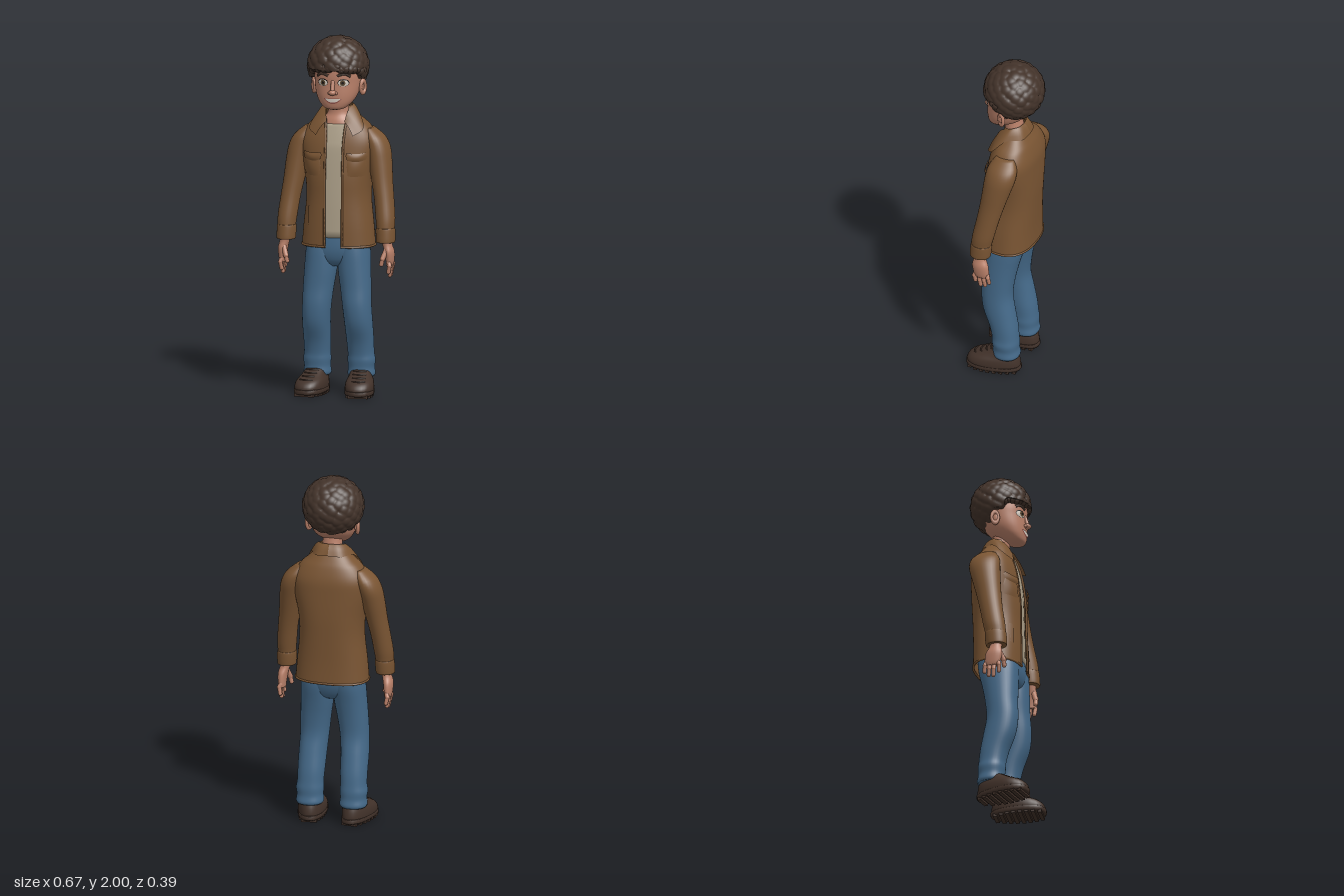
import * as THREE from 'three';
import { mergeVertices, mergeGeometries } from 'three/addons/utils/BufferGeometryUtils.js';

const mat = (name, color, double) => {
  const m = new THREE.MeshStandardMaterial({ color });
  m.name = name;
  if (double) m.side = THREE.DoubleSide;
  return m;
};
const V = (p) => new THREE.Vector3(...p);
const spow = (v, e) => Math.sign(v) * Math.pow(Math.abs(v), e);

// Fill in rows [y, cx, cz, rx, rz] between key sections with a smooth spline
function dense(rows, k = 4) {
  const out = [], last = rows.length - 1;
  for (let j = 0; j < last; j++) {
    const [a, b, c, d] = [Math.max(j - 1, 0), j, j + 1, Math.min(j + 2, last)].map((i) => rows[i]);
    for (let s = 0; s < k; s++) {
      const t = s / k;
      out.push(b.map((p, i) => 0.5 * (2 * p + (c[i] - a[i]) * t + (2 * a[i] - 5 * p + 4 * c[i] - d[i]) * t * t
        + (3 * p - a[i] - 3 * c[i] + d[i]) * t * t * t)));
    }
  }
  out.push(rows[last]);
  return out;
}

function build(pos, idx) {
  let g = new THREE.BufferGeometry();
  g.setAttribute('position', new THREE.Float32BufferAttribute(pos, 3));
  g.setIndex(idx);
  g = mergeVertices(g, 1e-5);
  g.computeVertexNormals();
  return g;
}

// Skin over stacked superellipse rings; gap(y) leaves an opening at the front
function loft(rows, { p = 2, n = 32, gap = null, s = 1 } = {}) {
  const pos = [], idx = [];
  for (const [y, cx, cz, rx, rz] of rows) {
    const a0 = gap ? Math.asin(Math.min(1, gap(y) / rx) ** (p / 2)) : 0;
    for (let i = 0; i <= n; i++) {
      const a = a0 + (2 * Math.PI - 2 * a0) * i / n;
      pos.push(s * cx + rx * spow(Math.sin(a), 2 / p), y, cz + rz * spow(Math.cos(a), 2 / p));
    }
  }
  const w = n + 1, top = (rows.length - 1) * w;
  for (let j = 0; j < rows.length - 1; j++) for (let i = 0; i < n; i++) {
    const a = j * w + i;
    idx.push(a, a + 1, a + w + 1, a, a + w + 1, a + w);
  }
  if (!gap) {
    const c = pos.length / 3, r0 = rows[0], r1 = rows[rows.length - 1];
    pos.push(s * r0[1], r0[0], r0[2], s * r1[1], r1[0], r1[2]);
    for (let i = 0; i < n; i++) idx.push(c, i + 1, i, c + 1, top + i, top + i + 1);
  }
  return build(pos, idx);
}

// Depth of the front of a loft at x, y
function surfZ(rows, p, x, y) {
  let j = 0;
  while (j < rows.length - 2 && rows[j + 1][0] < y) j++;
  const t = THREE.MathUtils.clamp((y - rows[j][0]) / (rows[j + 1][0] - rows[j][0]), 0, 1);
  const [, cx, cz, rx, rz] = rows[j].map((v, i) => v + (rows[j + 1][i] - v) * t);
  return cz + rz * Math.pow(Math.max(0, 1 - Math.abs((x - cx) / rx) ** p), 1 / p);
}

// Thin plate lying on a loft: e = 0 rectangle, 0.5 ellipse, 1 lens
function patch(rows, p, { x, y, w, h, e = 0.5, bend = 0, tilt = 0, lift = 0.003, bulge = 0 }) {
  const g = new THREE.PlaneGeometry(2, 2, 16, 6), q = g.attributes.position;
  for (let i = 0; i < q.count; i++) {
    const u = q.getX(i), v = q.getY(i), k = Math.pow(Math.max(0, 1 - u * u), e);
    const px = x + u * w, py = y + v * h * k + bend * u * u + tilt * u;
    q.setXYZ(i, px, py, surfZ(rows, p, px, py) + lift + bulge * (1 - u * u) * (1 - v * v));
  }
  g.computeVertexNormals();
  return g;
}

// Sheet between two curves
function ribbon(a, b, n = 20, m = 4) {
  const ca = new THREE.CatmullRomCurve3(a.map(V)), cb = new THREE.CatmullRomCurve3(b.map(V));
  const pos = [], idx = [];
  for (let i = 0; i <= n; i++) for (let j = 0; j <= m; j++) {
    const t = j / m, q = ca.getPoint(i / n).lerp(cb.getPoint(i / n), t);
    pos.push(q.x, q.y + 0.01 * Math.sin(Math.PI * t), q.z);
  }
  for (let i = 0; i < n; i++) for (let j = 0; j < m; j++) {
    const k = i * (m + 1) + j;
    idx.push(k, k + 1, k + m + 2, k, k + m + 2, k + m + 1);
  }
  return build(pos, idx);
}
const tube = (pts, r, n = 24) => new THREE.TubeGeometry(new THREE.CatmullRomCurve3(pts.map(V)), n, r, 6);
function limb(a, b, r) {
  const d = V(b).sub(V(a)), g = new THREE.CapsuleGeometry(r, d.length(), 5, 10);
  g.applyQuaternion(new THREE.Quaternion().setFromUnitVectors(V([0, 1, 0]), d.clone().normalize()));
  return g.translate(...V(a).addScaledVector(d, 0.5).toArray());
}
const ball = (x, y, z, rx, ry, rz) => new THREE.SphereGeometry(1, 20, 14).scale(rx, ry, rz).translate(x, y, z);

// Curly hair: sphere raised into round lumps, trimmed along the hairline
function hairGeometry() {
  let seed = 7;
  const rnd = () => (seed = (seed * 16807) % 2147483647) / 2147483647;
  const cells = Array.from({ length: 170 }, (_, i) => {
    const y = 1 - 2 * (i + 0.5) / 170, r = Math.sqrt(1 - y * y), a = i * 2.39996;
    return V([r * Math.cos(a) + (rnd() - 0.5) * 0.12, y + (rnd() - 0.5) * 0.12, r * Math.sin(a)]).normalize();
  });
  const raw = new THREE.IcosahedronGeometry(1, 26);
  raw.deleteAttribute('uv');
  raw.deleteAttribute('normal');
  const g = mergeVertices(raw, 1e-4), q = g.attributes.position, v = new THREE.Vector3();
  const step = THREE.MathUtils.smoothstep;
  for (let i = 0; i < q.count; i++) {
    v.fromBufferAttribute(q, i).normalize();
    const d = Math.min(...cells.map((c) => c.distanceTo(v)));
    v.multiplyScalar(0.92 + 0.09 * Math.sqrt(Math.max(0, 1 - (d / 0.21) ** 2)));
    const z = v.z * 0.171 - 0.02;
    const low = 1.67 + 0.1 * step(z, -0.045, -0.01) + 0.055 * step(z, 0.03, 0.07);
    q.setXYZ(i, v.x * 0.173 - 0.004, Math.max(low, 1.835 + v.y * 0.165), z);
  }
  g.computeVertexNormals();
  const fringe = [];
  for (let i = 0; i <= 16; i++) {
    const a = (i / 8 - 1) * 1.3, r = 0.02 + rnd() * 0.009;
    fringe.push(ball(Math.sin(a) * 0.145, 1.842 - 0.03 * Math.abs(Math.sin(a)) + rnd() * 0.014,
      Math.cos(a) * 0.144 - 0.02, r, r, r));
  }
  return [g, mergeGeometries(fringe)];
}

export function createModel() {
  const root = new THREE.Group();
  const M = {
    jacket: mat('brown jacket', 0x7a5533, true), jeans: mat('blue denim', 0x456a8a),
    skin: mat('skin', 0xb98069), hair: mat('dark brown hair', 0x43332a), shoe: mat('dark shoe leather', 0x42322a),
    shirt: mat('cream shirt', 0xaea18a), white: mat('eye and tooth white', 0xd6cdc2, true),
    iris: mat('brown iris', 0x5c4a32, true), pupil: mat('black pupil', 0x17120f, true), lip: mat('lip', 0x8f5148, true),
    brow: null,
  };
  const add = (name, g, m, parent = root) => {
    const o = new THREE.Mesh(g, m);
    o.name = name;
    parent.add(o);
    return o;
  };

  // Head and face
  const head = dense([[1.6, 0, 0.072, 0.02, 0.02], [1.61, 0, 0.069, 0.056, 0.046], [1.635, 0, 0.05, 0.086, 0.073],
    [1.665, 0, 0.026, 0.107, 0.1], [1.7, 0, 0.01, 0.12, 0.116], [1.75, 0, -0.003, 0.128, 0.127],
    [1.8, 0, -0.01, 0.13, 0.136], [1.88, 0, -0.015, 0.12, 0.13], [1.95, 0, -0.02, 0.07, 0.08]]);
  const onFace = (name, m, o) => add(name, patch(head, 2.2, o), m);
  add('head', loft(head, { p: 2.2, n: 40 }), M.skin);
  add('nose', ball(0, 1.702, 0.133, 0.021, 0.016, 0.023), M.skin);
  add('noseBridge', limb([0, 1.76, 0.12], [0, 1.71, 0.135], 0.0115), M.skin);
  onFace('lips', M.lip, { x: 0, y: 1.654, w: 0.052, h: 0.016, e: 1, bend: 0.014, lift: 0.003 });
  onFace('teeth', M.white, { x: 0, y: 1.656, w: 0.045, h: 0.01, e: 0.8, bend: 0.011, lift: 0.005 });
  for (const s of [1, -1]) {
    add('nostril', ball(s * 0.017, 1.699, 0.125, 0.011, 0.01, 0.014), M.skin);
    onFace('eyeRim', M.pupil, { x: s * 0.058, y: 1.757, w: 0.031, h: 0.021, lift: 0.002, bulge: 0.003 });
    onFace('eyeWhite', M.white, { x: s * 0.058, y: 1.755, w: 0.028, h: 0.018, lift: 0.003, bulge: 0.004 });
    onFace('iris', M.iris, { x: s * 0.056, y: 1.756, w: 0.0145, h: 0.0155, lift: 0.008 });
    onFace('pupil', M.pupil, { x: s * 0.056, y: 1.756, w: 0.007, h: 0.0075, lift: 0.0095 });
    const brow = [0.025, 0.05, 0.072, 0.092].map((x, i) => {
      const y = [1.795, 1.804, 1.804, 1.79][i];
      return [s * x, y, surfZ(head, 2.2, x, y) + 0.002];
    });
    add('eyebrow', tube(brow, 0.0075, 12), M.hair);
    const ear = add('ear', new THREE.TorusGeometry(0.024, 0.011, 8, 20).scale(0.8, 1.35, 1), M.skin);
    ear.position.set(s * 0.139, 1.72, -0.008);
    ear.rotation.y = s * 1.05;
    add('innerEar', ball(s * 0.134, 1.718, -0.008, 0.01, 0.032, 0.02), M.skin);
  }
  const [curls, fringe] = hairGeometry();
  add('hair', curls, M.hair);
  add('fringe', fringe, M.hair);
  add('neck', loft(dense([[1.47, 0, -0.04, 0.14, 0.1], [1.53, 0, -0.04, 0.1, 0.087], [1.57, 0, -0.03, 0.065, 0.06],
    [1.62, 0, -0.02, 0.056, 0.05], [1.68, 0, -0.01, 0.056, 0.05]])), M.skin);

  // Shirt and open jacket
  add('shirt', loft(dense([[0.885, 0, -0.02, 0.18, 0.126], [1.1, 0, -0.025, 0.165, 0.128], [1.35, 0, -0.035, 0.195, 0.124],
    [1.43, 0, -0.04, 0.19, 0.116], [1.515, 0, -0.04, 0.14, 0.094]]), { p: 2.4 }), M.shirt);
  const body = dense([[0.83, 0, -0.02, 0.205, 0.14], [0.95, 0, -0.02, 0.195, 0.14], [1.1, 0, -0.025, 0.18, 0.141],
    [1.22, 0, -0.028, 0.187, 0.143], [1.35, 0, -0.035, 0.212, 0.135], [1.43, 0, -0.04, 0.213, 0.126],
    [1.5, 0, -0.04, 0.175, 0.105], [1.54, 0, -0.038, 0.132, 0.086], [1.58, 0, -0.035, 0.094, 0.065],
    [1.615, 0, -0.03, 0.073, 0.055]]);
  const gap = (y) => 0.05 + 0.012 * THREE.MathUtils.smoothstep(y, 1.4, 1.6);
  add('jacketBody', loft(body, { p: 2.4, n: 48, gap }), M.jacket);
  add('jacketHem', new THREE.TubeGeometry(new THREE.CatmullRomCurve3(Array.from({ length: 33 }, (_, i) => {
    const a = 0.16 + (2 * Math.PI - 0.32) * i / 32;
    return V([0.203 * spow(Math.sin(a), 1 / 1.2), 0.836, -0.02 + 0.138 * spow(Math.cos(a), 1 / 1.2)]);
  })), 64, 0.007, 6), M.jacket);
  for (const s of [1, -1]) {
    const edge = [0.84, 0.95, 1.1, 1.2, 1.3, 1.4, 1.48, 1.54].map((y) => [s * gap(y), y, surfZ(body, 2.4, gap(y), y) - 0.002]);
    add('jacketFrontEdge', tube(edge, 0.007), M.jacket);
    const side = (pts) => pts.map(([x, y, z]) => [s * x, y, z]);
    add('collar', ribbon(side([[0, 1.628, -0.083], [0.05, 1.627, -0.07], [0.077, 1.62, -0.03], [0.062, 1.585, 0.03], [0.05, 1.53, 0.063]]),
      side([[0, 1.57, -0.122], [0.075, 1.565, -0.105], [0.12, 1.562, -0.03], [0.153, 1.49, 0.045], [0.105, 1.455, 0.09]])), M.jacket);
    add('chestPocket', patch(body, 2.4, { x: s * 0.125, y: 1.285, w: 0.05, h: 0.055, e: 0.06, lift: 0.003, bulge: 0.007 }), M.jacket);
    add('pocketFlap', patch(body, 2.4, { x: s * 0.125, y: 1.335, w: 0.057, h: 0.022, e: 0.08, bend: 0.012, lift: 0.009, bulge: 0.007 }), M.jacket);
    add('sidePocketWelt', patch(body, 2.4, { x: s * 0.14, y: 1.0, w: 0.012, h: 0.06, e: 0.1, lift: 0.006 }), M.jacket);

    // Sleeve, cuff and hand
    add('sleeve', loft(dense([[0.87, 0.283, 0.05, 0.049, 0.056], [0.94, 0.281, 0.045, 0.05, 0.058], [1.0, 0.278, 0.035, 0.054, 0.062],
      [1.1, 0.266, 0.015, 0.055, 0.064], [1.2, 0.25, -0.005, 0.059, 0.07], [1.3, 0.235, -0.025, 0.065, 0.08],
      [1.38, 0.22, -0.04, 0.067, 0.088], [1.44, 0.197, -0.045, 0.059, 0.082], [1.49, 0.165, -0.045, 0.032, 0.052]]), { s, n: 28 }), M.jacket);
    add('cuff', loft(dense([[0.865, 0.283, 0.051, 0.05, 0.056], [0.875, 0.283, 0.05, 0.053, 0.06], [0.935, 0.281, 0.045, 0.054, 0.061],
      [0.945, 0.281, 0.045, 0.05, 0.058]], 3), { s }), M.jacket);
    add('palm', loft(dense([[0.735, 0.303, 0.033, 0.018, 0.04], [0.76, 0.305, 0.035, 0.022, 0.046], [0.81, 0.303, 0.042, 0.027, 0.048],
      [0.85, 0.293, 0.048, 0.027, 0.035], [0.89, 0.285, 0.05, 0.028, 0.034]]), { s, n: 20 }), M.skin);
    const tips = [[0.068, 0.7, 0.075], [0.045, 0.678, 0.043], [0.02, 0.682, 0.016], [-0.002, 0.705, -0.008]];
    for (const [z, y, tz] of tips) {
      add('finger', limb([s * 0.305, 0.755, z], [s * 0.311, y + 0.035, tz], 0.0125), M.skin);
      add('fingertip', limb([s * 0.311, y + 0.035, tz], [s * 0.304, y, tz - 0.004], 0.0115), M.skin);
    }
    add('thumb', limb([s * 0.292, 0.825, 0.07], [s * 0.275, 0.775, 0.09], 0.015), M.skin);
    add('thumbTip', limb([s * 0.275, 0.775, 0.09], [s * 0.268, 0.745, 0.09], 0.0125), M.skin);

    // Trouser leg
    add('trouserLeg', loft(dense([[0.1, 0.125, -0.035, 0.07, 0.07], [0.115, 0.125, -0.035, 0.077, 0.077], [0.15, 0.125, -0.033, 0.073, 0.073],
      [0.19, 0.126, -0.031, 0.077, 0.076], [0.23, 0.124, -0.028, 0.073, 0.075], [0.3, 0.122, -0.016, 0.075, 0.08],
      [0.4, 0.12, 0.012, 0.077, 0.09], [0.5, 0.114, 0.027, 0.08, 0.088], [0.6, 0.106, 0.02, 0.085, 0.09],
      [0.7, 0.096, 0.01, 0.09, 0.1], [0.8, 0.09, -0.003, 0.09, 0.112], [0.88, 0.085, -0.01, 0.085, 0.112]]), { s, p: 2.2 }), M.jeans);

    // Shoe with sole, lugs and laces, toes turned out
    const shoe = new THREE.Group();
    shoe.name = 'shoe';
    shoe.position.set(s * 0.134, 0, 0.037);
    shoe.rotation.y = s * 0.14;
    root.add(shoe);
    const taper = (g) => {
      const q = g.attributes.position;
      for (let i = 0; i < q.count; i++) q.setX(i, q.getX(i) * (1 + q.getZ(i)));
      g.computeVertexNormals();
      return g;
    };
    const upper = dense([[0.02, 0, 0, 0.075, 0.15], [0.05, 0, 0, 0.079, 0.152], [0.08, 0, -0.01, 0.076, 0.138],
      [0.105, 0, -0.033, 0.066, 0.108], [0.125, 0, -0.052, 0.06, 0.085], [0.148, 0, -0.068, 0.054, 0.06]]);
    add('shoeUpper', taper(loft(upper, { p: 2.3 })), M.shoe, shoe);
    add('sole', taper(loft([[0.012, 0, 0, 0.074, 0.152], [0.02, 0, 0, 0.08, 0.157], [0.036, 0, 0, 0.08, 0.157], [0.04, 0, 0, 0.076, 0.152]],
      { p: 2.4 })), M.shoe, shoe);
    for (let i = 0; i < 8; i++) {
      const z = -0.125 + i * 0.036, w = 0.15 * Math.sqrt(1 - (z / 0.17) ** 2) * (1 + z);
      add('treadLug', new THREE.BoxGeometry(w, 0.018, 0.022).translate(0, 0.009, z), M.shoe, shoe);
    }
    for (let i = 0; i < 4; i++) {
      const y = 0.09 + i * 0.015;
      add('lace', tube([-0.036, 0, 0.036].map((x) => [x, y, surfZ(upper, 2.3, x, y) + 0.001]), 0.005, 8), M.shoe, shoe);
    }
  }
  add('trouserHips', loft(dense([[0.72, 0, 0, 0.06, 0.06], [0.75, 0, 0, 0.14, 0.093], [0.82, 0, -0.005, 0.18, 0.114],
    [0.92, 0, -0.012, 0.172, 0.114]]), { p: 2.3 }), M.jeans);
  return root;
}
